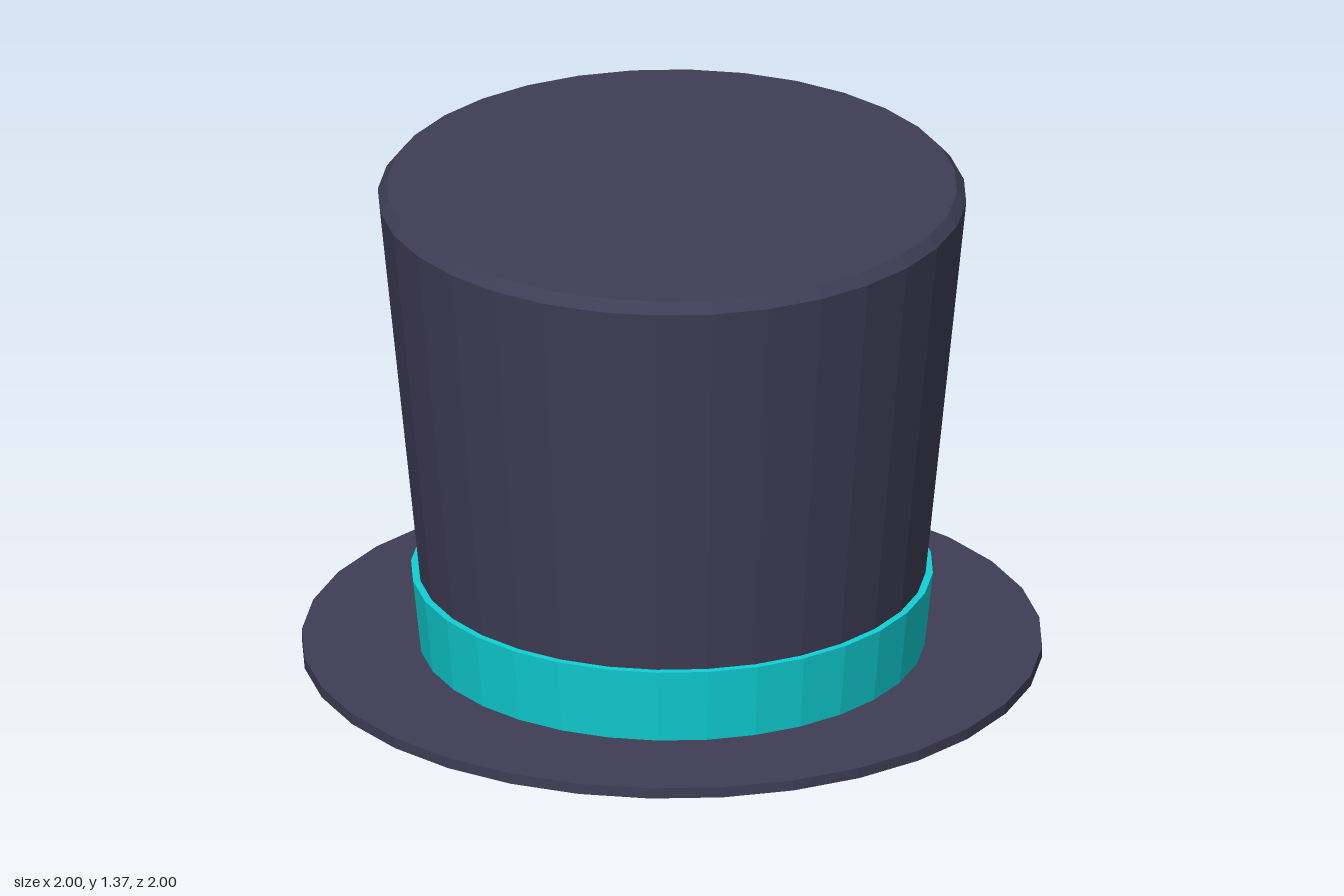
import * as THREE from 'three';

const SIDES = 32;

// Faceted turned part from a counter-clockwise [radius, height] profile
function turned(name, profile, color) {
  const points = profile.map(([r, y]) => new THREE.Vector2(r, y));
  const mesh = new THREE.Mesh(
    new THREE.LatheGeometry(points, SIDES),
    new THREE.MeshStandardMaterial({ color, flatShading: true })
  );
  mesh.name = name;
  return mesh;
}

export function createModel() {
  const hat = new THREE.Group();
  hat.name = 'topHat';
  const felt = 0x3f3d56;
  const teal = 0x0fd0d4;

  // Thin flat brim with the head opening
  hat.add(turned('brim', [
    [0.61, 0.03], [0.61, 0], [1, 0], [1, 0.03], [0.61, 0.03],
  ], felt));

  // Hollow crown, flaring upward to a bevelled top
  hat.add(turned('crown', [
    [0, 1.335], [0.73, 1.335], [0.6, 0.03], [0.664, 0.03],
    [0.795, 1.335], [0.77, 1.365], [0, 1.365],
  ], felt));

  // Ribbon around the foot of the crown
  hat.add(turned('ribbon', [
    [0.664, 0.03], [0.683, 0.03], [0.705, 0.24], [0.684, 0.24],
  ], teal));

  return hat;
}
